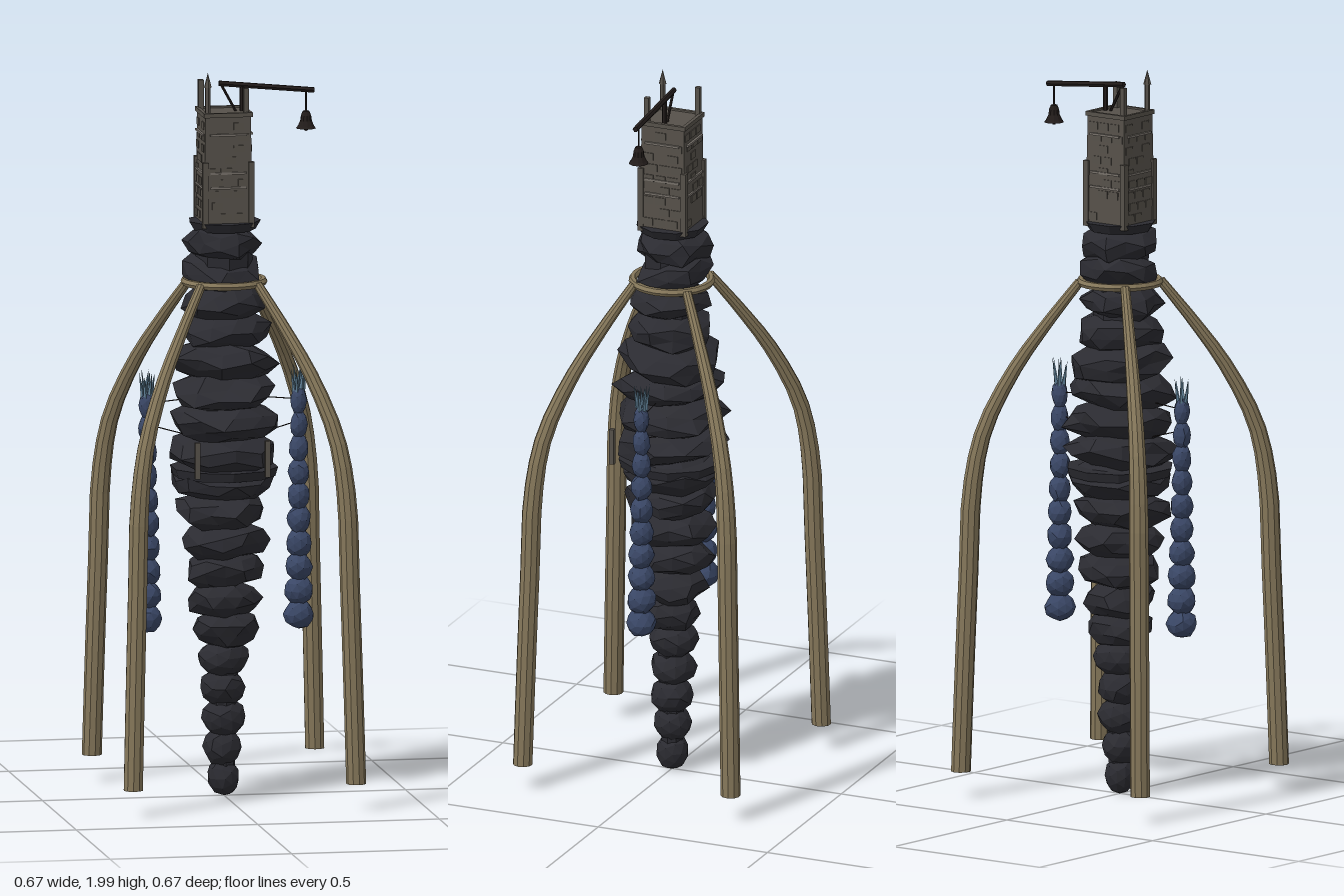
import * as THREE from 'three';

const mat = (color, opts = {}) => new THREE.MeshStandardMaterial({ color, flatShading: true, ...opts });
const ROCK = mat(0x2b2b31), BONE = mat(0x85775a), BLUE = mat(0x3a4766), ICE = mat(0x5f7f95);
const STONE = mat(0x56514a), TRIM = mat(0x77716a), DARK = mat(0x221c1a);

// small seeded random generator
function seeded(seed) {
  let s = seed;
  return () => (s = (s * 16807) % 2147483647) / 2147483647;
}

function add(parent, name, geo, material, x = 0, y = 0, z = 0) {
  const m = new THREE.Mesh(geo, material);
  m.name = name;
  m.position.set(x, y, z);
  parent.add(m);
  return m;
}

// faceted boulder: an icosphere whose shared corners are pushed in or out
function boulder(rx, ry, jitter, rand) {
  const geo = new THREE.IcosahedronGeometry(1, 1);
  const p = geo.attributes.position, seen = new Map(), v = new THREE.Vector3();
  for (let i = 0; i < p.count; i++) {
    v.fromBufferAttribute(p, i);
    const key = [v.x, v.y, v.z].map(n => Math.round(n * 100)).join();
    if (!seen.has(key)) seen.set(key, 1 + (rand() - 0.5) * 2 * jitter);
    v.multiplyScalar(seen.get(key));
    p.setXYZ(i, v.x * rx, v.y * ry, v.z * rx);
  }
  geo.computeVertexNormals();
  return geo;
}

// straight bar between two points
function bar(parent, name, a, b, r, material, sides = 6) {
  const A = new THREE.Vector3(...a), B = new THREE.Vector3(...b), d = B.clone().sub(A);
  const m = add(parent, name, new THREE.CylinderGeometry(r, r, d.length(), sides), material);
  m.position.copy(A).add(B).multiplyScalar(0.5);
  m.quaternion.setFromUnitVectors(new THREE.Vector3(0, 1, 0), d.normalize());
  return m;
}

// capped leg lofted along a curve in the vertical plane, swept outwards along +x
function legGeometry(points, sides) {
  const curve = new THREE.CatmullRomCurve3(points.map(([d, y]) => new THREE.Vector3(d, y, 0)));
  const steps = 18, pos = [], idx = [];
  for (let i = 0; i <= steps; i++) {
    const t = i / steps, c = curve.getPoint(t), g = curve.getTangent(t);
    const r = 0.027 - 0.014 * Math.max(0, (t - 0.4) / 0.6);
    for (let j = 0; j < sides; j++) {
      const a = j / sides * Math.PI * 2, u = Math.cos(a) * r, w = Math.sin(a) * r;
      pos.push(c.x + g.y * u, i ? c.y - g.x * u : c.y, w);
    }
  }
  for (let i = 0; i < steps; i++) for (let j = 0; j < sides; j++) {
    const a = i * sides + j, b = i * sides + (j + 1) % sides;
    idx.push(a, a + sides, b, b, a + sides, b + sides);
  }
  for (let j = 1; j < sides - 1; j++) {
    const k = steps * sides;
    idx.push(0, j, j + 1, k, k + j + 1, k + j);
  }
  const geo = new THREE.BufferGeometry();
  geo.setAttribute('position', new THREE.Float32BufferAttribute(pos, 3));
  geo.setIndex(idx);
  geo.computeVertexNormals();
  return geo;
}

function buildSpine() {
  const g = new THREE.Group(), rand = seeded(71);
  g.name = 'rockSpine';
  const radii = [0.044, 0.052, 0.06, 0.063, 0.07, 0.085, 0.1, 0.105, 0.115, 0.125,
    0.138, 0.148, 0.15, 0.146, 0.135, 0.118, 0.11, 0.108, 0.104];
  radii.forEach((r, i) => {
    const big = i > 4;
    const m = add(g, 'rock' + i, boulder(r, big ? 0.058 : 0.053, big ? 0.14 : 0.06, rand), ROCK,
      (rand() - 0.5) * 0.012, 0.06 + i * 0.0815, (rand() - 0.5) * 0.012);
    m.rotation.set((rand() - 0.5) * 0.25, rand() * 6, (rand() - 0.5) * 0.25);
  });
  add(g, 'core', new THREE.CylinderGeometry(0.08, 0.03, 1.45, 8), ROCK, 0, 0.8, 0);
  return g;
}

function buildLegs() {
  const g = new THREE.Group(), k = Math.SQRT2;
  g.name = 'legs';
  const path = [[0.307, 0.08], [0.3, 0.36], [0.292, 0.64], [0.285, 0.86], [0.262, 1.02],
    [0.205, 1.18], [0.145, 1.3], [0.078, 1.42]].map(([d, y]) => [d * k, y]);
  const geo = legGeometry(path, 10), leg = new THREE.MeshStandardMaterial().copy(BONE);
  leg.side = THREE.DoubleSide;
  for (let i = 0; i < 4; i++) add(g, 'leg' + i, geo, leg).rotation.y = Math.PI / 4 + i * Math.PI / 2;
  const ring = add(g, 'collarRing', new THREE.TorusGeometry(0.107, 0.011, 6, 24), BONE, 0, 1.42, 0);
  ring.rotation.x = Math.PI / 2;
  return g;
}

// hanging column of boulders with a crown of ice shards
function buildColumn(name, x, seed) {
  const g = new THREE.Group(), rand = seeded(seed);
  g.name = name;
  g.position.x = x;
  for (let i = 0; i < 10; i++) {
    const r = 0.042 - i * 0.0022;
    add(g, 'boulder' + i, boulder(r, 0.04, 0.06, rand), BLUE, 0, 0.5 + i * 0.065, 0).rotation.y = rand() * 6;
  }
  for (let i = 0; i < 7; i++) {
    const a = i / 6 * Math.PI * 2, r = i < 6 ? 0.016 : 0;
    const s = add(g, 'shard' + i, new THREE.ConeGeometry(0.007, 0.06 + rand() * 0.03, 4), ICE,
      Math.cos(a) * r, 1.135 + rand() * 0.02, Math.sin(a) * r);
    s.rotation.set(Math.sin(a) * 0.15, 0, -Math.cos(a) * 0.15);
  }
  return g;
}

function buildLedge() {
  const g = new THREE.Group();
  g.name = 'ledge';
  add(g, 'ledgePlate', new THREE.CylinderGeometry(0.148, 0.14, 0.025, 10), ROCK, 0, 0.9, 0);
  for (const x of [-0.098, 0.095]) {
    add(g, 'ledgePost', new THREE.BoxGeometry(0.014, 0.1, 0.014), STONE, x, 0.95, 0.135);
  }
  return g;
}

function buildTower() {
  const g = new THREE.Group(), rand = seeded(19);
  g.name = 'tower';
  add(g, 'foundation', new THREE.CylinderGeometry(0.1, 0.085, 0.025, 9), ROCK, 0, 1.575, 0);
  const body = add(g, 'towerBody', new THREE.CylinderGeometry(0.088, 0.095, 0.31, 4, 1), STONE, 0, 1.73, 0);
  body.rotation.y = Math.PI / 4;
  // bricks and bands on each side
  for (let s = 0; s < 4; s++) {
    const face = new THREE.Group();
    face.name = 'towerFace' + s;
    face.rotation.y = s * Math.PI / 2;
    for (let row = 0; row < 9; row++) for (let c = 0; c < 3; c++) {
      if (rand() < 0.3) continue;
      const y = 1.605 + row * 0.031;
      add(face, 'brick', new THREE.BoxGeometry(0.03, 0.02, 0.006), STONE,
        (c - 1) * 0.036 + (row % 2 ? 0.006 : -0.006), y, 0.0665 - (y - 1.58) * 0.016);
    }
    for (const y of [1.685, 1.725, 1.83]) {
      add(face, 'band', new THREE.BoxGeometry(0.1, 0.006, 0.006), TRIM, 0, y, 0.067);
    }
    add(face, 'roofRim', new THREE.BoxGeometry(0.134, 0.012, 0.01), STONE, 0, 1.884, 0.062);
    add(face, 'cornerButtress', new THREE.BoxGeometry(0.016, 0.18, 0.016), STONE, 0.063, 1.665, 0.063);
    g.add(face);
  }
  // roof posts and the pointed spire
  add(g, 'backPost', new THREE.BoxGeometry(0.014, 0.1, 0.014), STONE, -0.054, 1.915, -0.054);
  add(g, 'frontPost', new THREE.BoxGeometry(0.014, 0.1, 0.014), STONE, 0.051, 1.905, 0.051);
  add(g, 'spirePost', new THREE.CylinderGeometry(0.008, 0.008, 0.09, 6), STONE, -0.054, 1.92, 0.051);
  add(g, 'spireTip', new THREE.ConeGeometry(0.011, 0.04, 6), STONE, -0.054, 1.98, 0.051);
  return g;
}

function buildCrane() {
  const g = new THREE.Group();
  g.name = 'bellCrane';
  bar(g, 'mast', [0.05, 1.88, 0], [0.05, 1.955, 0], 0.007, DARK);
  bar(g, 'beam', [-0.014, 1.962, 0], [0.248, 1.936, 0], 0.008, DARK);
  bar(g, 'brace', [-0.006, 1.955, 0], [0.032, 1.885, 0], 0.004, DARK);
  bar(g, 'bellRope', [0.226, 1.94, 0], [0.226, 1.87, 0], 0.0025, DARK);
  const profile = [[0, 0.05], [0.009, 0.047], [0.014, 0.035], [0.016, 0.02], [0.022, 0.007], [0.027, 0]]
    .reverse().map(([r, y]) => new THREE.Vector2(r, y));
  add(g, 'bell', new THREE.LatheGeometry(profile, 10), mat(0x221c1a, { side: THREE.DoubleSide }), 0.226, 1.832, 0);
  add(g, 'clapper', new THREE.SphereGeometry(0.006, 6, 4), DARK, 0.226, 1.83, 0);
  return g;
}

export function createModel() {
  const model = new THREE.Group();
  model.name = 'stiltTower';
  model.add(buildSpine(), buildLegs(), buildLedge(), buildTower(), buildCrane(),
    buildColumn('leftColumn', 0.206, 5), buildColumn('rightColumn', -0.212, 37));
  // thin tethers from the spine to the columns
  for (const s of [-1, 1]) for (const [y0, y1] of [[1.1, 1.09], [1.0, 1.03]]) {
    bar(model, 'tether', [s * 0.1, y0, 0], [s * 0.205, y1, 0], 0.0015, DARK, 4);
  }
  return model;
}
